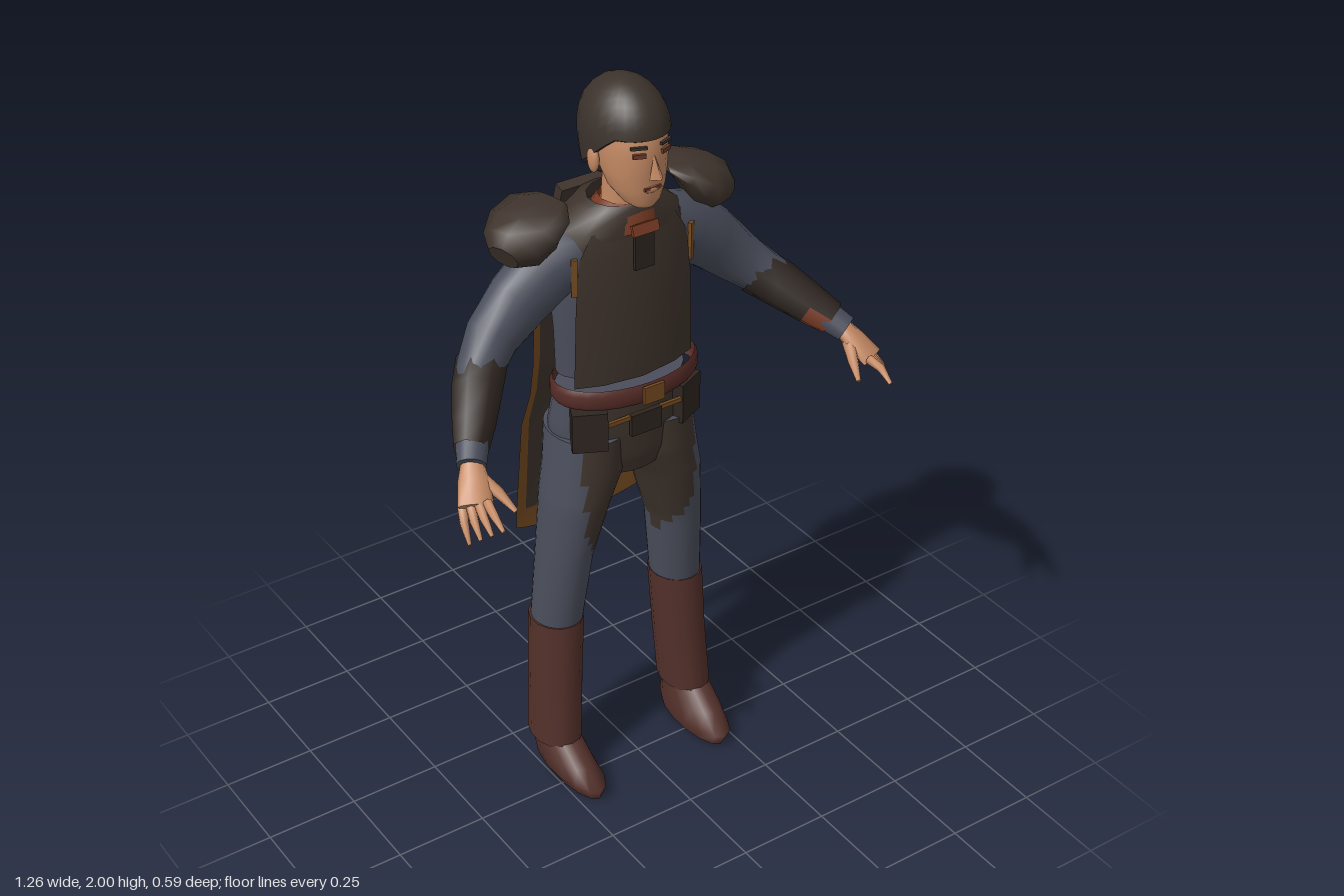
import * as THREE from 'three';

const mat = (name, color) => Object.assign(new THREE.MeshStandardMaterial({ color, side: THREE.DoubleSide }), { name });
const M = {
  skin: mat('skin', 0xc48a64), hair: mat('hair', 0x3b322b), leather: mat('dark leather', 0x3e332c),
  strap: mat('strap leather', 0x2e2520), shirt: mat('blue grey cloth', 0x4a4e5b), boot: mat('boot leather', 0x53302a),
  belt: mat('belt leather', 0x552b26), trim: mat('ochre trim', 0x744a20), rust: mat('rust cloth', 0x7a3b24),
  feature: mat('eye and lip', 0x6b3a2c),
};

// Splits every span between rows into k linear steps.
const dense = (rows, k) => rows.flatMap((r, i) => i === rows.length - 1 ? [r]
  : Array.from({ length: k }, (_, j) => r.map((v, c) => v + (rows[i + 1][c] - v) * j / k)));

// Skins rings of points; pick(centroid) chooses a material index for each quad.
function skinRings(name, rings, mats, { pick = () => 0, caps = true } = {}) {
  const n = rings[0].length, pos = rings.flat().flatMap(p => p.toArray());
  mats = [].concat(mats);
  const tris = mats.map(() => []);
  for (let i = 0; i < rings.length - 1; i++) for (let j = 0; j < n; j++) {
    const k = (j + 1) % n, a = i * n + j, b = i * n + k, c = b + n, d = a + n;
    const mid = new THREE.Vector3();
    [rings[i][j], rings[i][k], rings[i + 1][k], rings[i + 1][j]].forEach(p => mid.addScaledVector(p, 0.25));
    tris[pick(mid)].push(a, b, c, a, c, d);
  }
  if (caps) [rings[0], rings[rings.length - 1]].forEach((ring, end) => {
    const base = pos.length / 3, mid = new THREE.Vector3();
    ring.forEach(p => { pos.push(...p.toArray()); mid.addScaledVector(p, 1 / n); });
    pos.push(...mid.toArray());
    for (let j = 0; j < n; j++) {
      const k = (j + 1) % n;
      tris[0].push(base + n, base + (end ? j : k), base + (end ? k : j));
    }
  });
  const g = new THREE.BufferGeometry();
  g.setAttribute('position', new THREE.Float32BufferAttribute(pos, 3));
  g.setIndex(tris.flat());
  let start = 0;
  tris.forEach((t, i) => { g.addGroup(start, t.length, i); start += t.length; });
  g.computeVertexNormals();
  const mesh = new THREE.Mesh(g, mats.length > 1 ? mats : mats[0]);
  mesh.name = name;
  return mesh;
}

// Upright body: rows [x, y, z, radiusX, radiusZ] from bottom to top.
const upright = (name, rows, n, mats, opt) => skinRings(name, rows.map(([x, y, z, rx, rz]) =>
  Array.from({ length: n }, (_, j) => {
    const a = j / n * Math.PI * 2;
    return new THREE.Vector3(x + rx * Math.sin(a), y, z + rz * Math.cos(a));
  })), mats, opt);

// Limb along a path: rows [x, y, z, radius across, radius up]; s mirrors x.
function limb(name, rows, n, mats, s = 1, opt) {
  const c = rows.map(r => new THREE.Vector3(r[0] * s, r[1], r[2]));
  return skinRings(name, rows.map((r, i) => {
    const t = c[Math.min(i + 1, c.length - 1)].clone().sub(c[Math.max(i - 1, 0)]).normalize();
    const u = new THREE.Vector3(0, 1, 0).cross(t).normalize(), v = t.clone().cross(u);
    return Array.from({ length: n }, (_, j) => {
      const a = j / n * Math.PI * 2;
      return c[i].clone().addScaledVector(u, r[3] * Math.cos(a)).addScaledVector(v, r[4] * Math.sin(a));
    });
  }), mats, opt);
}

// Hanging cloth: rows [y, half width, z middle, z edge, edge lift] from top to bottom.
function sheet(name, rows, cols, mats, pick) {
  const nc = cols.length - 1, nr = rows.length - 1;
  const g = new THREE.PlaneGeometry(1, 1, nc, nr), p = g.attributes.position;
  rows.forEach(([y, w, zm, ze, lift], i) => cols.forEach((f, j) =>
    p.setXYZ(i * (nc + 1) + j, f * w, y + lift * f * f, zm + (ze - zm) * f * f)));
  for (let i = 0; i < nr; i++) for (let j = 0; j < nc; j++) g.addGroup((i * nc + j) * 6, 6, pick(i, j));
  g.computeVertexNormals();
  const mesh = new THREE.Mesh(g, mats);
  mesh.name = name;
  return mesh;
}

function put(name, geo, m, x, y, z, ry = 0, rx = 0, rz = 0) {
  const mesh = new THREE.Mesh(geo, m);
  mesh.name = name;
  mesh.position.set(x, y, z);
  mesh.rotation.set(rx, ry, rz);
  return mesh;
}
const box = (w, h, d) => new THREE.BoxGeometry(w, h, d);
const ball = (a, b, c) => new THREE.SphereGeometry(1, 14, 10).scale(a, b, c);

function head() {
  const g = new THREE.Group();
  g.name = 'head';
  g.add(upright('face', [[0, 1.7, .02, .028, .028], [0, 1.715, .012, .048, .044], [0, 1.75, -.01, .07, .071],
    [0, 1.79, -.022, .08, .086], [0, 1.84, -.035, .086, .103], [0, 1.9, -.045, .086, .108], [0, 1.95, -.055, .07, .085]], 24, M.skin));
  g.add(upright('neck', [[0, 1.6, -.065, .07, .065], [0, 1.68, -.058, .058, .058], [0, 1.76, -.05, .058, .06]], 16, M.skin));
  // Hair cap with a hairline high over the brow and low at the nape
  const rings = [];
  for (let i = 9; i >= 0; i--) {
    const q = 1 - Math.cos((i + .15) / 9.15 * Math.PI / 2);
    rings.push(Array.from({ length: 28 }, (_, j) => {
      const a = j / 28 * Math.PI * 2, c = Math.cos(a);
      const low = c > .6 ? 1.885 : c > 0 ? 1.815 + c * .115 : 1.815 + c * .08;
      const y = 2 - (2 - low) * q, h = y - 1.875;
      const r = Math.sqrt(Math.max(0, 1 - (h / (h > 0 ? .1255 : .25)) ** 2));
      return new THREE.Vector3(.102 * r * Math.sin(a), y, -.06 + .131 * r * c);
    }));
  }
  g.add(skinRings('hair', rings, M.hair), put('hairBun', ball(.04, .055, .034), M.hair, 0, 1.765, -.155));
  g.add(put('nose', new THREE.ConeGeometry(.021, .062, 4).scale(.9, 1, 1.1), M.skin, 0, 1.818, .07, 0, -.15));
  g.add(put('mouth', box(.046, .007, .008), M.feature, 0, 1.757, .06));
  g.add(put('lips', ball(.024, .011, .009), M.skin, 0, 1.754, .056));
  for (const s of [1, -1]) {
    g.add(put('eye', box(.032, .011, .008), M.feature, s * .037, 1.848, .06, s * .38));
    g.add(put('eyebrow', box(.04, .007, .008), M.hair, s * .038, 1.868, .059, s * .38));
    g.add(put('ear', ball(.012, .034, .02), M.skin, s * .093, 1.812, -.05));
  }
  return g;
}

function arm(s) {
  const g = new THREE.Group();
  g.name = s > 0 ? 'leftArm' : 'rightArm';
  g.add(limb('sleeve', [[.13, 1.565, -.095, .075, .075], [.2, 1.535, -.098, .08, .088], [.28, 1.47, -.1, .073, .083],
    [.36, 1.395, -.095, .066, .07], [.43, 1.335, -.05, .055, .06], [.49, 1.28, .03, .045, .045],
    [.555, 1.22, .125, .036, .034]], 16, M.shirt, s));
  g.add(limb('bracer', [[.405, 1.35, -.07, .064, .066], [.45, 1.315, -.02, .063, .063], [.5, 1.27, .045, .054, .054],
    [.535, 1.24, .09, .044, .046]], 7, [M.strap, M.rust], s,
    { pick: p => p.y < 1.262 && p.z > .03 && Math.abs(p.x) < .53 ? 1 : 0, caps: false }));
  g.add(limb('palm', [[.548, 1.225, .115, .026, .022], [.565, 1.195, .15, .038, .022], [.588, 1.158, .195, .043, .016]], 10, M.skin, s));
  // Fingers from index to little finger, then the thumb
  for (let i = 0; i < 4; i++) {
    const k = i / 3, b = [.565 + .043 * k, 1.168 - .02 * k, .21 - .045 * k];
    const t = [.572 + .053 * k, 1.135 - .055 * k, .292 - .068 * k];
    g.add(limb('finger', [[...b, .0125, .013], [(b[0] + t[0]) / 2 + .004, (b[1] + t[1]) / 2 + .008, (b[2] + t[2]) / 2, .011, .011],
      [...t, .005, .005]], 7, M.skin, s));
  }
  g.add(limb('thumb', [[.548, 1.197, .145, .018, .018], [.525, 1.172, .195, .014, .014], [.508, 1.14, .243, .006, .006]], 7, M.skin, s));
  g.add(limb('shoulderPad', [[.16, 1.695, -.13, .05, .007], [.2, 1.682, -.12, .1, .03], [.25, 1.648, -.11, .108, .06],
    [.295, 1.618, -.095, .085, .06], [.325, 1.605, -.085, .045, .032]], 9, M.leather, s));
  return g;
}

function leg(s) {
  const g = new THREE.Group();
  g.name = s > 0 ? 'leftLeg' : 'rightLeg';
  // Trousers with a leather inset on the inner thigh
  const rows = [[.19, .47, -.105, .066, .074], [.17, .7, -.09, .071, .087], [.138, .87, -.083, .09, .105],
    [.11, .96, -.085, .104, .112], [.1, 1.06, -.092, .1, .118]];
  g.add(upright('trouserLeg', dense(rows.map(([x, ...r]) => [x * s, ...r]), 6), 28, [M.shirt, M.leather], {
    pick: p => {
      const x = Math.abs(p.x), edge = p.y > .8 ? .168 : .168 - (.8 - p.y) * .5;
      return p.y > .67 && x < edge && (p.z > -.1 || x < edge - .07) ? 1 : 0;
    },
  }));
  g.add(upright('boot', [[.212 * s, .11, -.09, .064, .09], [.2 * s, .3, -.1, .068, .082], [.19 * s, .49, -.105, .071, .08]], 14, M.boot));
  g.add(upright('shoe', [[.2 * s, 0, -.025, .045, .135], [.205 * s, .035, -.022, .06, .148], [.21 * s, .075, -.05, .058, .115],
    [.212 * s, .125, -.09, .054, .082]], 14, M.boot));
  return g;
}

export function createModel() {
  const g = new THREE.Group();
  g.add(head());
  for (const s of [1, -1]) g.add(arm(s), leg(s));

  // Torso and hips
  g.add(upright('shirt', [[0, 1.235, -.085, .18, .092], [0, 1.35, -.085, .183, .094], [0, 1.48, -.088, .192, .096],
    [0, 1.57, -.09, .18, .09], [0, 1.64, -.085, .12, .075]], 28, M.shirt));
  g.add(upright('hips', dense([[0, .94, -.088, .12, .1], [0, .99, -.09, .185, .112], [0, 1.07, -.095, .196, .122], [0, 1.18, -.085, .182, .11]], 4),
    28, [M.shirt, M.leather], { pick: p => p.z > -.09 && Math.abs(p.x) < .17 ? 1 : 0 }));

  // Leather chest panel with trim at the armholes
  g.add(sheet('chestPanel', [[1.63, .12, .012, -.02, 0], [1.57, .155, .02, -.02, 0], [1.45, .168, .025, -.018, 0], [1.22, .175, .022, -.02, 0]],
    [-1, -.6, 0, .6, 1], [M.leather], () => 0));
  g.add(put('chestTab', box(.055, .1, .009), M.strap, 0, 1.578, .025));
  for (const s of [1, -1]) {
    g.add(put('armholeTrim', box(.016, .1, .009), M.trim, s * .17, 1.53, -.02, s * .5));
    g.add(put('pouch', box(.09, .11, .06), M.strap, s * .14, 1.1, -.012, s * .45));
  }

  // Collar and neck scarf
  g.add(upright('collar', [[0, 1.575, -.095, .195, .105], [0, 1.625, -.1, .175, .115], [0, 1.675, -.088, .11, .1], [0, 1.69, -.075, .085, .08]],
    14, M.leather, { caps: false }));
  g.add(upright('scarf', [[0, 1.62, -.065, .085, .088], [0, 1.665, -.065, .085, .08], [0, 1.695, -.06, .064, .064]], 12, M.rust, { caps: false }));
  g.add(put('scarfKnot', box(.075, .028, .009), M.rust, 0, 1.637, .03, 0, -.3));
  g.add(put('collarBackFlap', box(.2, .05, .03), M.leather, 0, 1.655, -.2, 0, .3));

  // Belt standing clear of the body, buckle and fittings
  g.add(upright('belt', [[0, 1.168, -.062, .198, .12], [0, 1.18, -.062, .206, .129], [0, 1.208, -.062, .206, .129], [0, 1.222, -.062, .198, .12]],
    28, M.belt, { caps: false }));
  g.add(put('buckle', box(.06, .048, .009), M.trim, 0, 1.195, .069));
  g.add(put('hipTrim', box(.22, .012, .009), M.trim, 0, 1.118, .03));
  g.add(put('frontFlap', box(.09, .06, .012), M.strap, 0, 1.095, .034));

  // Back cape with an ochre border
  g.add(sheet('cape', [[1.63, .16, -.24, -.205, 0], [1.2, .182, -.25, -.2, 0], [1.1, .18, -.268, -.222, 0], [1.0, .195, -.287, -.245, 0],
    [.7, .197, -.293, -.28, .01], [.62, .195, -.295, -.285, .035]],
    [-1, -.84, -.4, 0, .4, .84, 1], [M.leather, M.trim], (i, j) => i === 4 || j === 0 || j === 5 ? 1 : 0));
  return g;
}
